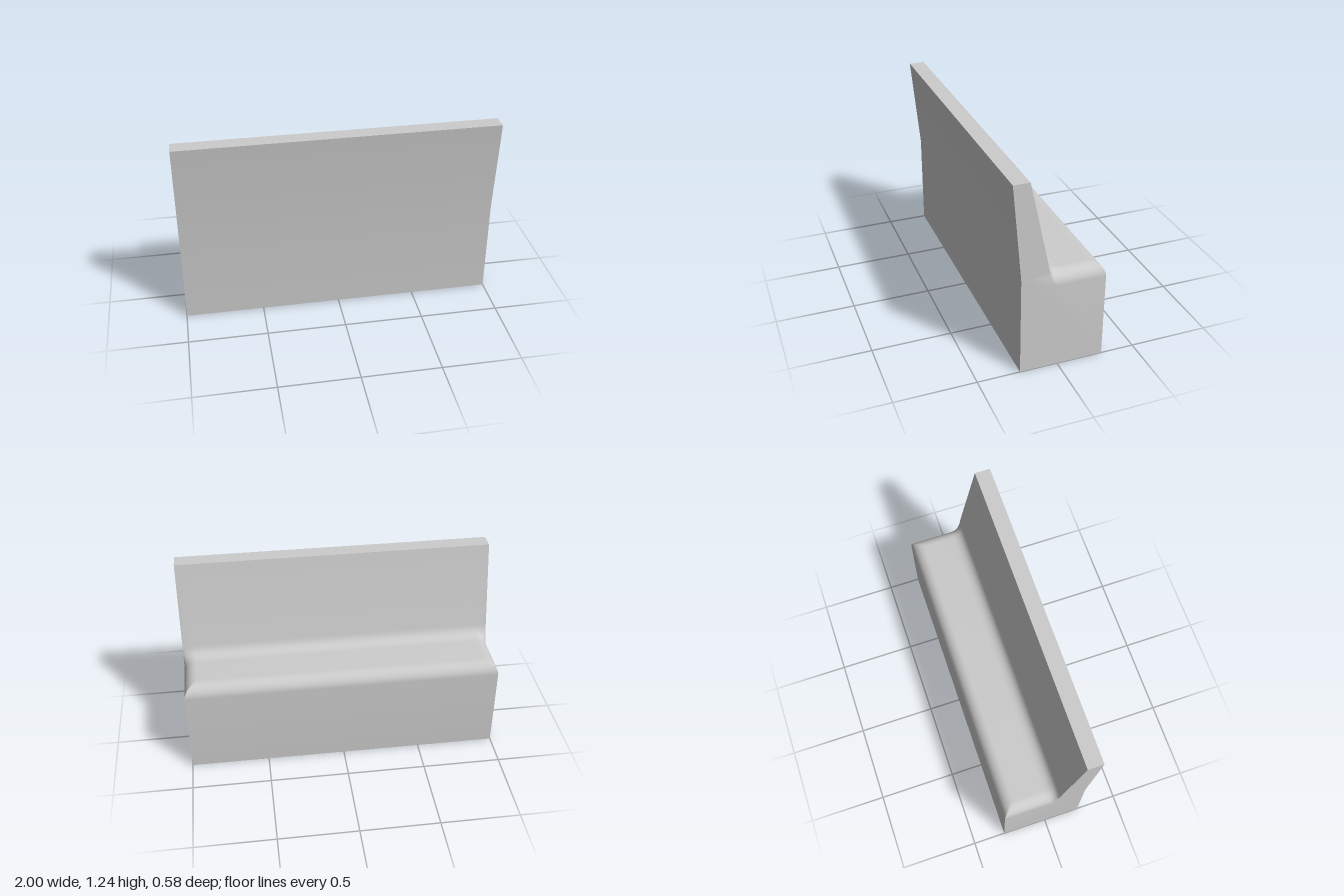
import * as THREE from 'three';
import { toCreasedNormals } from 'three/addons/utils/BufferGeometryUtils.js';

const SEAT = 0.63, R = 0.08, STEPS = 10;

// Side outline as [z, y, drop weight]; the weight fades out along the fillet into the backrest
function outline() {
  const p = [[0.235, 0, 0], [0.235, 0.63, 0], [0.29, 1.235, 0], [0.19, 1.235, 0]];
  const fillet = new THREE.CubicBezierCurve(
    new THREE.Vector2(0.072, 0.70), new THREE.Vector2(0.062, 0.66),
    new THREE.Vector2(0.04, 0.63), new THREE.Vector2(-0.02, SEAT));
  fillet.getPoints(STEPS).forEach((v, i) => p.push([v.x, v.y, Math.min(1, 1.4 * i / STEPS)]));
  for (let i = 0; i <= STEPS; i++) {
    const a = (i / STEPS) * Math.PI / 2;
    p.push([-0.21 - R * Math.sin(a), SEAT - R + R * Math.cos(a), 1]);
  }
  p.push([-0.29, 0, 0]);
  return p;
}

// Loft the outline along x, rounding the seat over at both ends
function benchGeometry() {
  const profile = outline(), n = profile.length;
  const sections = [];
  for (let i = 0; i <= STEPS; i++) {
    const a = (i / STEPS) * Math.PI / 2;
    sections.push([1 - R + R * Math.sin(a), R * (1 - Math.cos(a))]);
  }
  const all = [...sections.map(([x, d]) => [-x, d]).reverse(), ...sections];
  const pos = [], idx = [];
  for (const [x, d] of all) {
    for (const [z, y, w] of profile) {
      const onRoll = z < -0.2;
      pos.push(x, onRoll && w ? Math.min(y, SEAT - d) : y - d * w, z);
    }
  }
  for (let i = 0; i < all.length - 1; i++) {
    for (let j = 0; j < n; j++) {
      const k = (j + 1) % n;
      const a = i * n + j, b = a + n, c = (i + 1) * n + k, e = i * n + k;
      idx.push(a, b, c, a, c, e);
    }
  }
  // Flat end caps
  const last = (all.length - 1) * n;
  const contour = [];
  for (let j = n - 1; j >= 0; j--) {
    const o = (last + j) * 3;
    contour.push(new THREE.Vector2(-pos[o + 2], pos[o + 1]));
  }
  for (const f of THREE.ShapeUtils.triangulateShape(contour, [])) {
    const [a, b, c] = f.map((v) => n - 1 - v);
    idx.push(last + a, last + b, last + c, a, c, b);
  }
  const g = new THREE.BufferGeometry();
  g.setAttribute('position', new THREE.Float32BufferAttribute(pos, 3));
  g.setIndex(idx);
  return toCreasedNormals(g, 0.6);
}

export function createModel() {
  const group = new THREE.Group();
  group.name = 'bench';
  const mesh = new THREE.Mesh(benchGeometry(), new THREE.MeshStandardMaterial({ color: 0xcccccc }));
  mesh.name = 'seatAndBackrest';
  group.add(mesh);
  return group;
}
